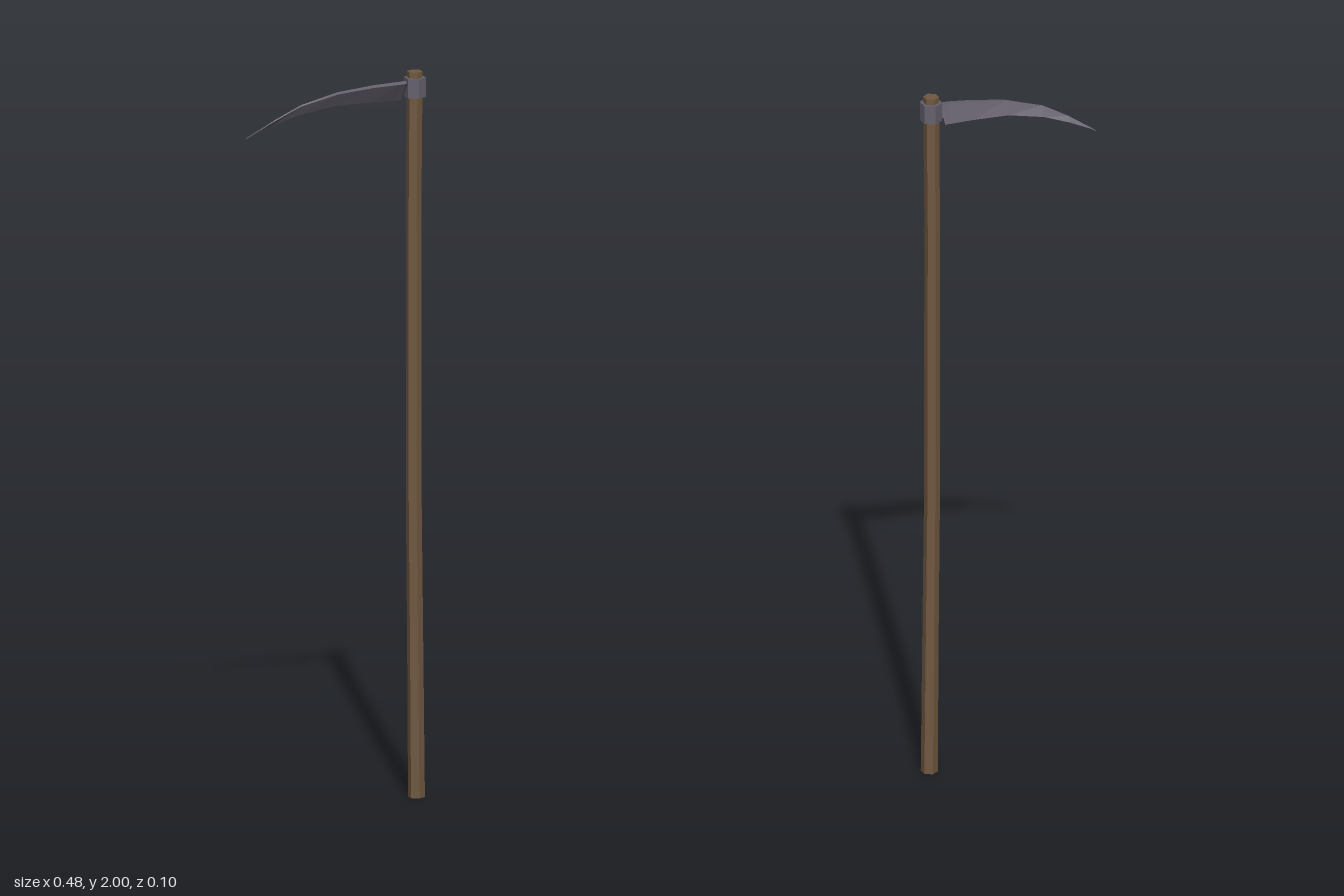
import * as THREE from 'three';

const wood = new THREE.MeshStandardMaterial({ color: 0x705840 });
wood.name = 'wood';
const steel = new THREE.MeshStandardMaterial({ color: 0x66616e });
steel.name = 'steel';

function part(name, geometry, material) {
  const mesh = new THREE.Mesh(geometry, material);
  mesh.name = name;
  return mesh;
}

// Six-sided handle whose centre line wanders slightly: [y, x, z, radius]
function handleGeometry() {
  const rings = [
    [0, 0.218, 0.024, 0.023],
    [0.4, 0.215, 0.023, 0.022],
    [0.8, 0.212, 0.020, 0.0215],
    [1.2, 0.212, 0.019, 0.0215],
    [1.6, 0.212, 0.018, 0.021],
    [2, 0.215, 0.019, 0.0215],
  ];
  const geo = new THREE.CylinderGeometry(1, 1, 2, 6, rings.length - 1);
  const pos = geo.attributes.position;
  for (let i = 0; i < pos.count; i++) {
    const k = Math.round(((pos.getY(i) + 1) / 2) * (rings.length - 1));
    const [y, x, z, r] = rings[k];
    pos.setXYZ(i, x + pos.getX(i) * r, y, z + pos.getZ(i) * r);
  }
  const flat = geo.toNonIndexed();
  flat.computeVertexNormals();
  return flat;
}

// Curved blade with a triangular section: front spine, back spine, cutting edge
function bladeGeometry() {
  // x, spine y, cutting edge y, then z of front spine, back spine, cutting edge
  const stations = [
    [0.205, 1.974, 1.937, 0.033, 0.012, 0.005],
    [0.185, 1.974, 1.937, 0.033, 0.012, 0.005],
    [0.182, 1.973, 1.918, 0.033, 0.012, 0.0],
    [0.16, 1.972, 1.918, 0.033, 0.011, -0.001],
    [0.1, 1.968, 1.918, 0.024, 0.006, -0.005],
    [0, 1.955, 1.915, 0.010, -0.002, -0.013],
    [-0.1, 1.925, 1.895, -0.010, -0.014, -0.026],
    [-0.17, 1.886, 1.870, -0.027, -0.028, -0.039],
    [-0.242, 1.838, 1.838, -0.052, -0.052, -0.052],
  ];
  const sections = stations.map(([x, top, edge, zf, zb, ze]) => [
    [x, top - 0.003, zf],
    [x, top, zb],
    [x, edge, ze],
  ]);
  const v = [];
  for (let s = 0; s < sections.length - 1; s++) {
    const p = sections[s], q = sections[s + 1];
    for (let i = 0; i < 3; i++) {
      const j = (i + 1) % 3;
      v.push(...p[i], ...p[j], ...q[i], ...p[j], ...q[j], ...q[i]);
    }
  }
  // Cap hidden in the collar
  v.push(...sections[0][0], ...sections[0][2], ...sections[0][1]);
  const geo = new THREE.BufferGeometry();
  geo.setAttribute('position', new THREE.Float32BufferAttribute(v, 3));
  geo.computeVertexNormals();
  return geo;
}

export function createModel() {
  const group = new THREE.Group();
  group.name = 'scythe';

  group.add(part('handle', handleGeometry(), wood));

  // Hexagonal collar clamping the blade to the handle
  const collarGeo = new THREE.CylinderGeometry(0.03, 0.03, 0.053, 6).toNonIndexed();
  collarGeo.computeVertexNormals();
  const collar = part('collar', collarGeo, steel);
  collar.position.set(0.2155, 1.957, 0.019);
  group.add(collar);

  group.add(part('blade', bladeGeometry(), steel));
  return group;
}
